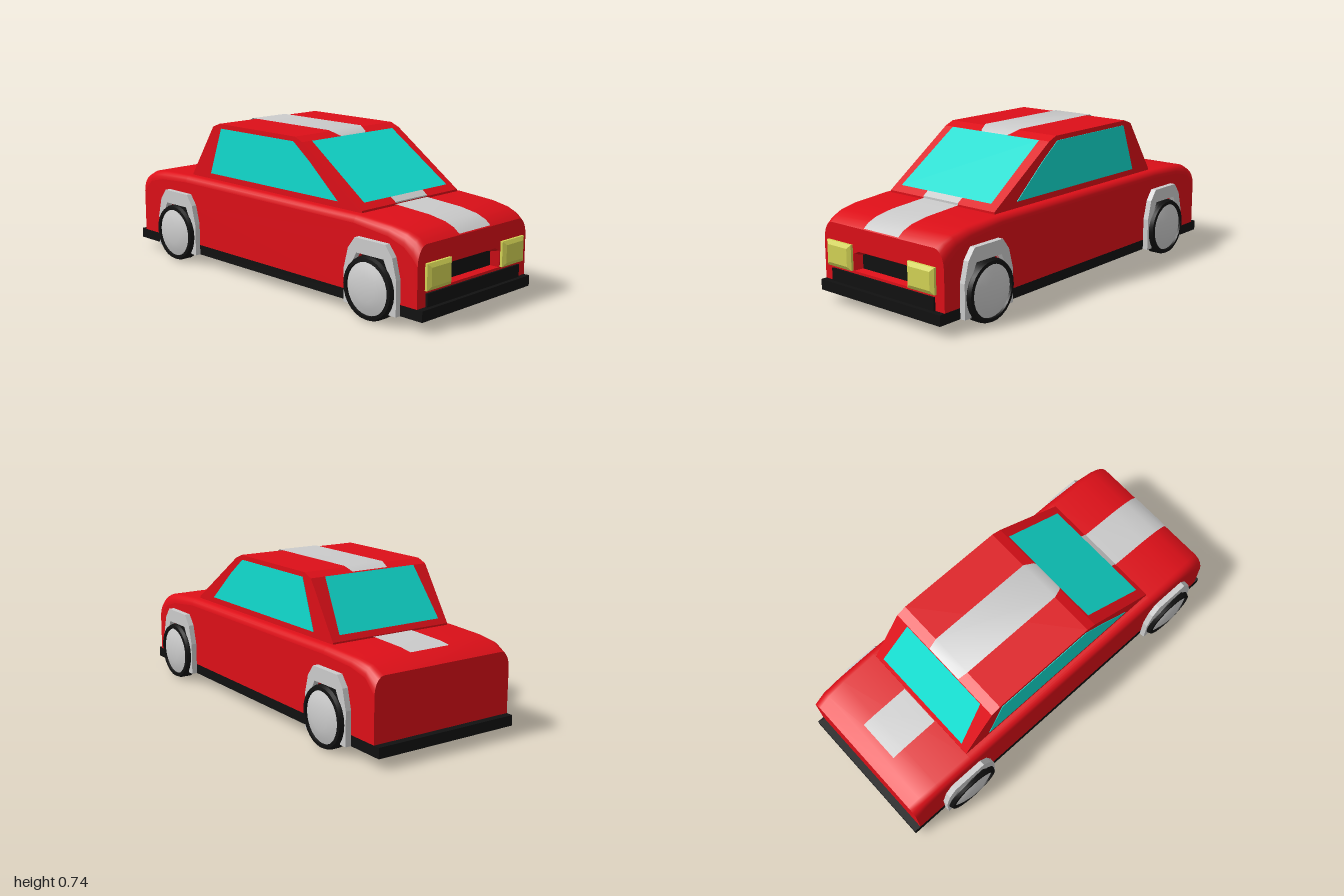
import * as THREE from 'three';
import { toCreasedNormals } from 'three/addons/utils/BufferGeometryUtils.js';

const mat = (color, side = THREE.FrontSide) => new THREE.MeshStandardMaterial({ color, side });
const RED = mat(0xdd0f18), BLACK = mat(0x111111), GREY = mat(0xcccccc), YELLOW = mat(0xd4d455);
const GLASS = mat(0x10dccf, THREE.DoubleSide), STRIPE = mat(0xcccccc, THREE.DoubleSide);

// Body stations from nose to tail: z, top height, shoulder drop, shoulder inset
const STATIONS = [
  [0.97, 0.375, 0.09, 0.055], [0.94, 0.398, 0.08, 0.05], [0.89, 0.417, 0.06, 0.045],
  [0.8, 0.432, 0.045, 0.04], [0.6, 0.445, 0.035, 0.035], [-0.6, 0.447, 0.035, 0.035],
  [-0.8, 0.44, 0.04, 0.04], [-0.9, 0.427, 0.05, 0.045], [-0.965, 0.395, 0.08, 0.05],
];
const HALF = 0.38;
const WHEEL_Z = [0.722, -0.65];

const vec2 = (pts) => pts.map(([x, y]) => new THREE.Vector2(x, y));

// Skin a row of equal-length rings of [x, y, z]
function loft(rings, crease = 0.6) {
  const n = rings[0].length, index = [];
  for (let i = 0; i < rings.length - 1; i++) {
    for (let j = 0; j < n - 1; j++) {
      const a = i * n + j, b = a + 1, c = a + n, d = c + 1;
      index.push(a, c, b, b, c, d);
    }
  }
  const geo = new THREE.BufferGeometry();
  geo.setAttribute('position', new THREE.Float32BufferAttribute(rings.flat(2), 3));
  geo.setIndex(index);
  return toCreasedNormals(geo, crease);
}

// Extrude a side outline of [z, y] points from x0 to x1
function slab(points, x0, x1) {
  const geo = new THREE.ExtrudeGeometry(new THREE.Shape(vec2(points)), { depth: x1 - x0, bevelEnabled: false });
  return geo.rotateY(-Math.PI / 2).translate(x1, 0, 0);
}

// Strip lying just above the skin, from rows of [z, y, halfWidth]
const strip = (rows) => loft(rows.map(([z, y, w]) => [[w, y + 0.006, z], [-w, y + 0.006, z]]));

// Rounded shoulder arc of one station, from the left side over to the right
function section([z, top, drop, inset]) {
  const left = [];
  for (let i = 0; i <= 5; i++) {
    const a = (i / 5) * Math.PI / 2;
    left.push([HALF - inset + inset * Math.cos(a), top - drop + drop * Math.sin(a), z]);
  }
  return [...left, ...left.slice().reverse().map(([x, y]) => [-x, y, z])];
}

function topAt(z) {
  const i = Math.max(1, STATIONS.findIndex((s) => s[0] <= z));
  const [a, b] = [STATIONS[i - 1], STATIONS[i]];
  return a[1] + (b[1] - a[1]) * (z - a[0]) / (b[0] - a[0]);
}

function wheel() {
  const g = new THREE.Group();
  // Profiles are [radius, distance outward]
  const tire = new THREE.LatheGeometry(vec2([
    [0, 0], [0.135, 0], [0.145, 0.008], [0.145, 0.052], [0.138, 0.068], [0.122, 0.07], [0.118, 0.05],
  ]), 28);
  const hub = new THREE.LatheGeometry(vec2([
    [0.12, 0.04], [0.12, 0.06], [0.092, 0.07], [0.056, 0.079], [0, 0.08],
  ]), 28);
  for (const [name, geo, m] of [['tire', tire, BLACK], ['hubcap', hub, GREY]]) {
    const mesh = new THREE.Mesh(toCreasedNormals(geo, 0.4), m);
    mesh.name = name;
    g.add(mesh);
  }
  return g;
}

export function createModel() {
  const car = new THREE.Group();
  car.name = 'car';
  const add = (name, geo, m) => {
    const mesh = new THREE.Mesh(geo, m);
    mesh.name = name;
    car.add(mesh);
    return mesh;
  };
  const box = (w, h, d, y, z) => new THREE.BoxGeometry(w, h, d).translate(0, y, z);

  // Floor and front bumper
  add('floor', box(0.76, 0.05, 2, 0.075, 0), BLACK);
  add('frontBumper', box(0.65, 0.06, 0.08, 0.13, 0.94), BLACK);

  // Hood, shoulders and trunk
  add('bodyTop', loft(STATIONS.map(section)), RED);

  // Side walls, notched for the wheels
  const outline = [[0.97, 0.1], ...STATIONS.map(([z, top, drop]) => [z, top - drop]), [-0.965, 0.1]];
  for (const wz of [...WHEEL_Z].reverse()) {
    for (const [dz, y] of [[-0.115, 0.1], [-0.115, 0.22], [-0.08, 0.29], [0.08, 0.29], [0.115, 0.22], [0.115, 0.1]]) {
      outline.push([wz + dz, y]);
    }
  }
  add('leftSideWall', slab(outline, HALF - 0.02, HALF), RED);
  add('rightSideWall', slab(outline, -HALF, -HALF + 0.02), RED);

  // Nose with a grille opening, and tail
  const endShape = (station) => new THREE.Shape(vec2([[HALF, 0.1], ...section(station), [-HALF, 0.1]]));
  const opening = [[0.185, 0.172], [-0.185, 0.172], [-0.185, 0.25], [-0.15, 0.267], [0.15, 0.267], [0.185, 0.25]];
  const inner = [[0.16, 0.18], [-0.16, 0.18], [-0.16, 0.245], [-0.14, 0.25], [0.14, 0.25], [0.16, 0.245]];
  const nose = endShape(STATIONS[0]);
  nose.holes.push(new THREE.Path(vec2(opening)));
  add('nose', new THREE.ShapeGeometry(nose).translate(0, 0, 0.97), RED);
  add('tail', new THREE.ShapeGeometry(endShape(STATIONS.at(-1))).rotateY(Math.PI).translate(0, 0, -0.965), RED);
  const ring = (pts, z) => [...pts, pts[0]].map(([x, y]) => [x, y, z]);
  add('grilleRecess', loft([ring(opening, 0.97), ring(inner, 0.935)], 0.2), RED);
  add('grille', box(0.33, 0.08, 0.01, 0.215, 0.931), BLACK);

  // Cabin with windows
  add('cabin', slab([[0.6, 0.44], [0.6, 0.455], [0.22, 0.715], [0.17, 0.735], [-0.38, 0.735],
    [-0.43, 0.715], [-0.6, 0.455], [-0.6, 0.44]], -0.33, 0.33), RED);
  add('windshield', strip([[0.571, 0.475, 0.285], [0.227, 0.71, 0.275]]), GLASS);
  add('rearWindow', strip([[-0.433, 0.71, 0.255], [-0.587, 0.475, 0.285]]), GLASS);
  const sideWindow = [[0.45, 0.475], [0.27, 0.63], [0.16, 0.712], [-0.365, 0.712], [-0.452, 0.475]];
  add('leftWindow', slab(sideWindow, 0.325, 0.333), GLASS);
  add('rightWindow', slab(sideWindow, -0.333, -0.325), GLASS);

  // Centre stripe over hood, roof and trunk
  const along = (zs) => zs.map((z) => [z, topAt(z), 0.11]);
  add('hoodStripe', strip([...along([0.97, 0.94, 0.89, 0.8, 0.6]), [0.6, 0.455, 0.11], [0.571, 0.475, 0.11]]), STRIPE);
  add('roofStripe', strip([[0.227, 0.71, 0.08], [0.22, 0.715, 0.09], [0.17, 0.735, 0.11],
    [-0.38, 0.735, 0.11], [-0.43, 0.715, 0.1]]), STRIPE);
  add('trunkStripe', strip(along([-0.605, -0.8, -0.865])), STRIPE);

  // Bevelled headlights
  const lamp = new THREE.Shape(vec2([[-0.062, -0.042], [0.062, -0.042], [0.062, 0.042], [-0.062, 0.042]]));
  const lampGeo = new THREE.ExtrudeGeometry(lamp, {
    depth: 0.012, bevelSize: 0.018, bevelThickness: 0.011, bevelSegments: 1,
  });
  // Wheel arch outline relative to the axle: outer edge, then inner edge
  const arch = [[0.155, 0.05], [0.155, 0.21], [0.13, 0.305], [0.09, 0.357], [-0.09, 0.357], [-0.13, 0.305],
    [-0.155, 0.21], [-0.155, 0.05], [-0.115, 0.05], [-0.115, 0.22], [-0.08, 0.29], [0.08, 0.29],
    [0.115, 0.22], [0.115, 0.05]];
  for (const [side, s] of [['left', 1], ['right', -1]]) {
    add(side + 'Headlight', lampGeo, YELLOW).position.set(s * 0.26, 0.236, 0.977);
    WHEEL_Z.forEach((z, i) => {
      const end = i ? 'Rear' : 'Front';
      const [x0, x1] = s > 0 ? [0.37, 0.408] : [-0.408, -0.37];
      add(side + end + 'Arch', slab(arch, x0, x1), GREY).position.z = z;
      const w = wheel();
      w.name = side + end + 'Wheel';
      w.rotation.z = -s * Math.PI / 2;
      w.position.set(s * 0.36, 0.145, z);
      car.add(w);
    });
  }
  return car;
}
